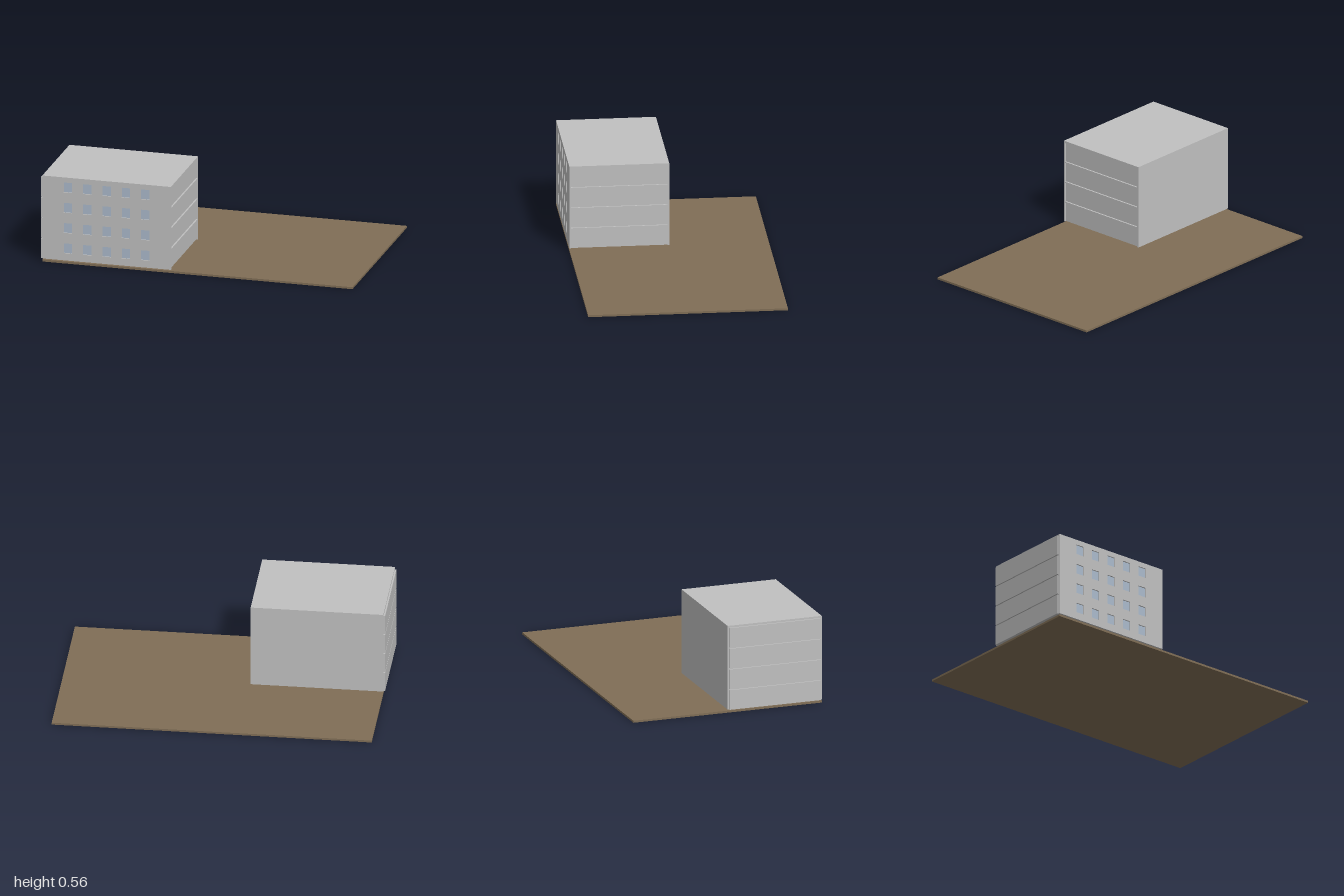
import * as THREE from 'three';

export function createModel() {
  const model = new THREE.Group();
  model.name = 'buildingOnPlot';
  const concrete = new THREE.MeshStandardMaterial({ name: 'concrete grey', color: 0xc0c0c0 });
  const earth = new THREE.MeshStandardMaterial({ name: 'earth brown', color: 0x806e56 });
  const glass = new THREE.MeshStandardMaterial({ name: 'glass blue', color: 0xabbacb });

  // Box given by its minimum and maximum corners
  function box(name, material, [x0, y0, z0], [x1, y1, z1], parent = model) {
    const mesh = new THREE.Mesh(new THREE.BoxGeometry(x1 - x0, y1 - y0, z1 - z0), material);
    mesh.position.set((x0 + x1) / 2, (y0 + y1) / 2, (z0 + z1) / 2);
    mesh.name = name;
    parent.add(mesh);
    return mesh;
  }

  // Plot
  box('ground', earth, [-0.99, 0, -0.62], [1, 0.013, 0.62]);

  const building = new THREE.Group();
  building.name = 'building';
  model.add(building);
  const left = -0.99, right = -0.165, base = 0.02, top = 0.56, front = 0.62;
  const wall = 0.01, roof = 0.013, slab = 0.007, offset = 0.01;

  // Front wall with window openings, and the recessed panes
  const facade = new THREE.Shape([
    new THREE.Vector2(left, base), new THREE.Vector2(right, base),
    new THREE.Vector2(right, top), new THREE.Vector2(left, top),
  ]);
  const w = 0.028, h = 0.032;
  for (let row = 0; row < 4; row++) {
    for (let col = 0; col < 5; col++) {
      const x = -0.826 + col * 0.124, y = 0.099 + row * 0.132;
      facade.holes.push(new THREE.Path([
        new THREE.Vector2(x - w, y - h), new THREE.Vector2(x - w, y + h),
        new THREE.Vector2(x + w, y + h), new THREE.Vector2(x + w, y - h),
      ]));
      box('windowPane', glass, [x - w, y - h, front - wall - 0.001],
        [x + w, y + h, front - wall + 0.002], building);
    }
  }
  const frontWall = new THREE.Mesh(
    new THREE.ExtrudeGeometry(facade, { depth: wall, bevelEnabled: false }), concrete);
  frontWall.position.z = front - wall;
  frontWall.name = 'frontWall';
  building.add(frontWall);

  // Back wall and roof
  box('backWall', concrete, [left, base, 0], [right, top, wall], building);
  box('roof', concrete, [left, top - roof, wall], [right, top, front - wall], building);

  // Storeys sit slightly out on one end and in on the other, parted by slabs
  const pitch = (top - roof - base + slab) / 4;
  for (let i = 0; i < 4; i++) {
    const y = base + i * pitch;
    box('storey', concrete, [left - offset, y, wall],
      [right - offset, y + pitch - slab, front - wall], building);
    if (i < 3) {
      box('floorSlab', concrete, [left, y + pitch - slab, wall],
        [right, y + pitch, front - wall], building);
    }
  }
  return model;
}
